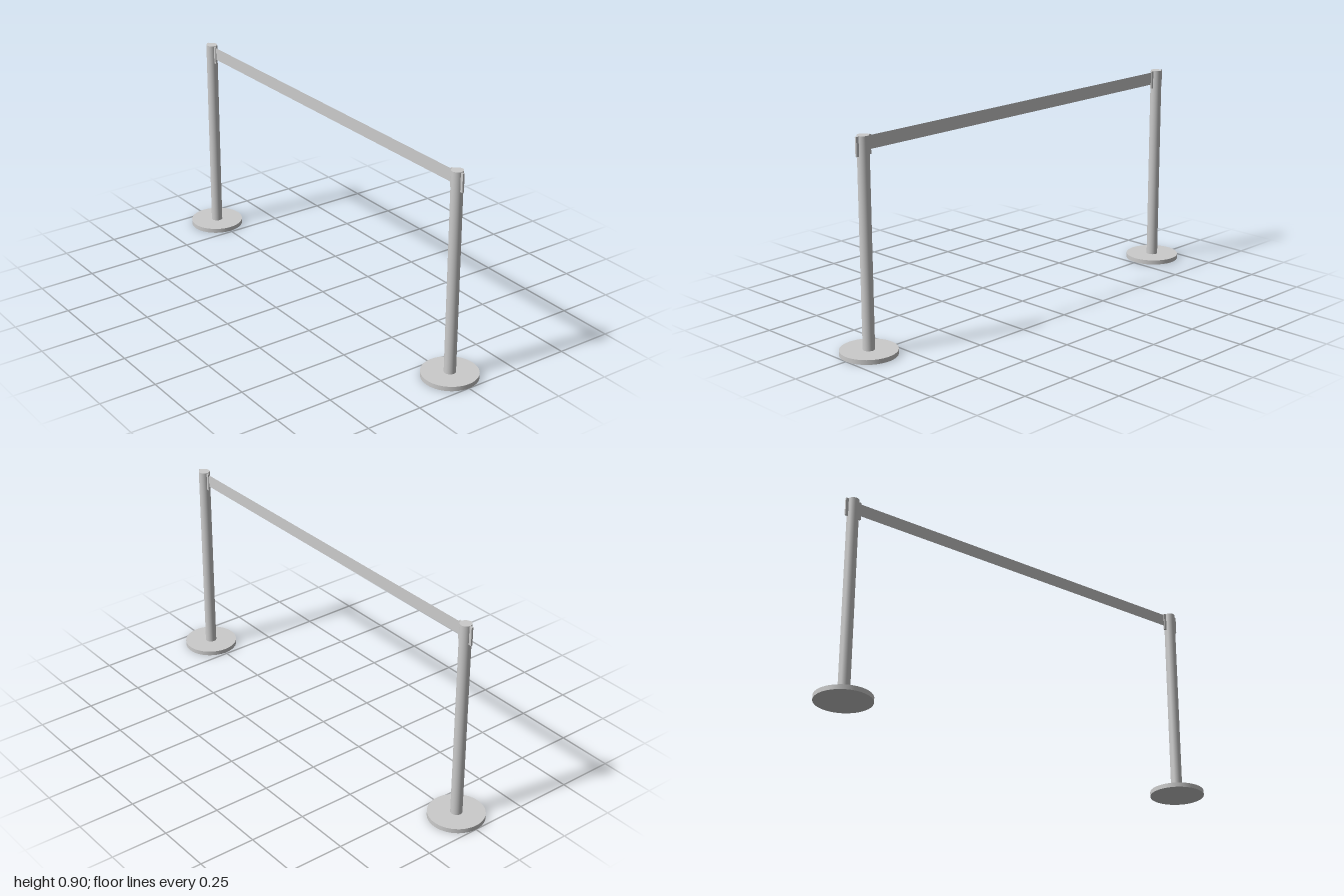
import * as THREE from 'three';

const POST_Z = 0.88;

export function createModel() {
  const model = new THREE.Group();
  model.name = 'beltBarrier';
  const grey = new THREE.MeshStandardMaterial({ color: 0xcccccc });
  const thin = new THREE.MeshStandardMaterial({ color: 0xcccccc, side: THREE.DoubleSide });

  function add(parent, name, geometry, y, material = grey) {
    const mesh = new THREE.Mesh(geometry, material);
    mesh.name = name;
    mesh.position.y = y;
    parent.add(mesh);
    return mesh;
  }

  // Two identical stanchions, one at each end
  for (const side of [1, -1]) {
    const stanchion = new THREE.Group();
    stanchion.name = side > 0 ? 'frontStanchion' : 'backStanchion';
    stanchion.position.z = side * POST_Z;
    add(stanchion, 'base', new THREE.CylinderGeometry(0.12, 0.12, 0.02, 64), 0.01);
    add(stanchion, 'post', new THREE.CylinderGeometry(0.025, 0.025, 0.885, 48), 0.4625);
    // Belt clip running through the post head, showing on both sides
    add(stanchion, 'beltClip', new THREE.BoxGeometry(0.008, 0.08, 0.074), 0.863);
    model.add(stanchion);
  }

  // Flat belt stretched between the posts
  const belt = add(model, 'belt', new THREE.PlaneGeometry(2 * POST_Z, 0.056), 0.87, thin);
  belt.rotation.y = Math.PI / 2;

  return model;
}
